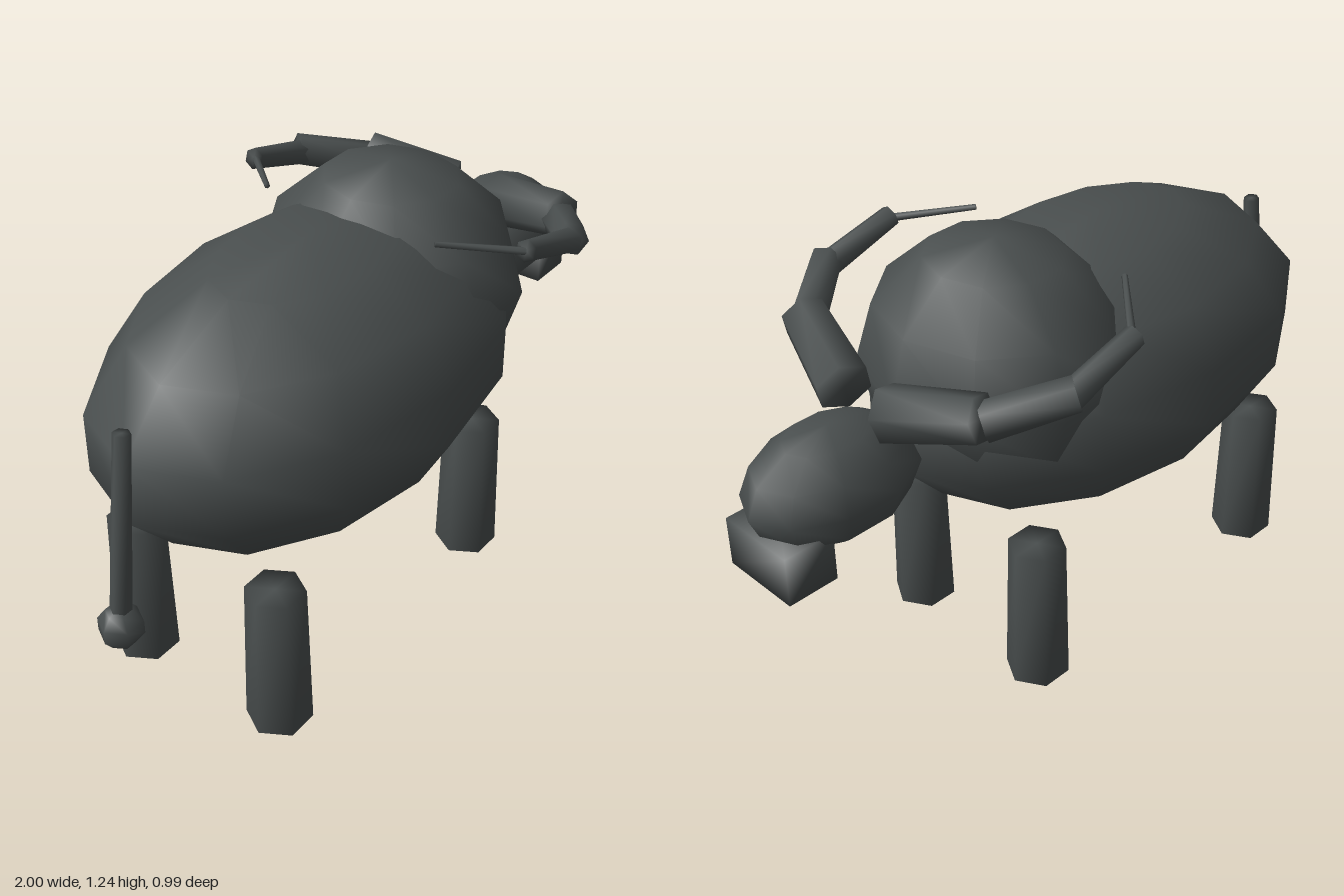
import * as THREE from 'three';
import { mergeVertices } from 'three/addons/utils/BufferGeometryUtils.js';

const hide = new THREE.MeshStandardMaterial({ color: 0x4a4f4f });
hide.name = 'charcoal';

// Weld corners so every part shades softly across its edges
function weld(geometry) {
  geometry.deleteAttribute('normal');
  geometry.deleteAttribute('uv');
  const g = mergeVertices(geometry, 1e-4);
  g.computeVertexNormals();
  return g;
}

export function createModel() {
  const model = new THREE.Group();
  model.name = 'ox';

  function add(name, geometry, x, y, z) {
    const mesh = new THREE.Mesh(weld(geometry), hide);
    mesh.name = name;
    mesh.position.set(x, y, z);
    model.add(mesh);
    return mesh;
  }

  const ball = (name, x, y, z, rx, ry, rz, around, down) =>
    add(name, new THREE.SphereGeometry(1, around, down).scale(rx, ry, rz), x, y, z);

  // Tapered six-sided rod between two points
  function rod(name, a, b, ra, rb) {
    const from = new THREE.Vector3(...a), to = new THREE.Vector3(...b);
    const dir = to.clone().sub(from);
    const mid = from.clone().add(to).multiplyScalar(0.5);
    const g = new THREE.CylinderGeometry(rb, ra, dir.length(), 6).rotateY(Math.PI / 2);
    const mesh = add(name, g, mid.x, mid.y, mid.z);
    mesh.quaternion.setFromUnitVectors(new THREE.Vector3(0, 1, 0), dir.normalize());
  }

  // Body, shoulder hump, head and muzzle
  ball('body', -0.17, 0.785, 0, 0.728, 0.385, 0.455, 12, 7);
  ball('shoulderHump', 0.19, 0.9, 0, 0.36, 0.336, 0.38, 10, 6);
  ball('head', 0.75, 0.787, 0, 0.25, 0.155, 0.173, 10, 6);
  add('muzzle', new THREE.BoxGeometry(0.145, 0.14, 0.23), 0.917, 0.66, 0);

  // Legs and horns, mirrored across the body
  const hornPoints = [
    [[0.63, 0.955, 0.08], [0.55, 1.02, 0.33], 0.076, 0.064],
    [[0.545, 1.005, 0.325], [0.37, 1.065, 0.46], 0.052, 0.046],
    [[0.387, 1.052, 0.448], [0.155, 1.122, 0.444], 0.038, 0.031],
    [[0.16, 1.118, 0.44], [0, 1.153, 0.27], 0.011, 0.008],
  ];
  for (const side of [1, -1]) {
    const label = side > 0 ? 'left' : 'right';
    rod(label + 'FrontLeg', [0.28, 0, side * 0.237], [0.28, 0.44, side * 0.237], 0.09, 0.08);
    rod(label + 'BackLeg', [-0.63, 0, side * 0.237], [-0.63, 0.44, side * 0.237], 0.09, 0.08);
    hornPoints.forEach(([a, b, ra, rb], i) =>
      rod(label + 'HornSegment' + (i + 1), [a[0], a[1], a[2] * side], [b[0], b[1], b[2] * side], ra, rb));
  }

  // Tail with tuft
  rod('tail', [-0.873, 0.965, 0], [-0.938, 0.44, 0], 0.023, 0.029);
  ball('tailTuft', -0.94, 0.42, 0, 0.062, 0.06, 0.062, 6, 5);

  return model;
}
